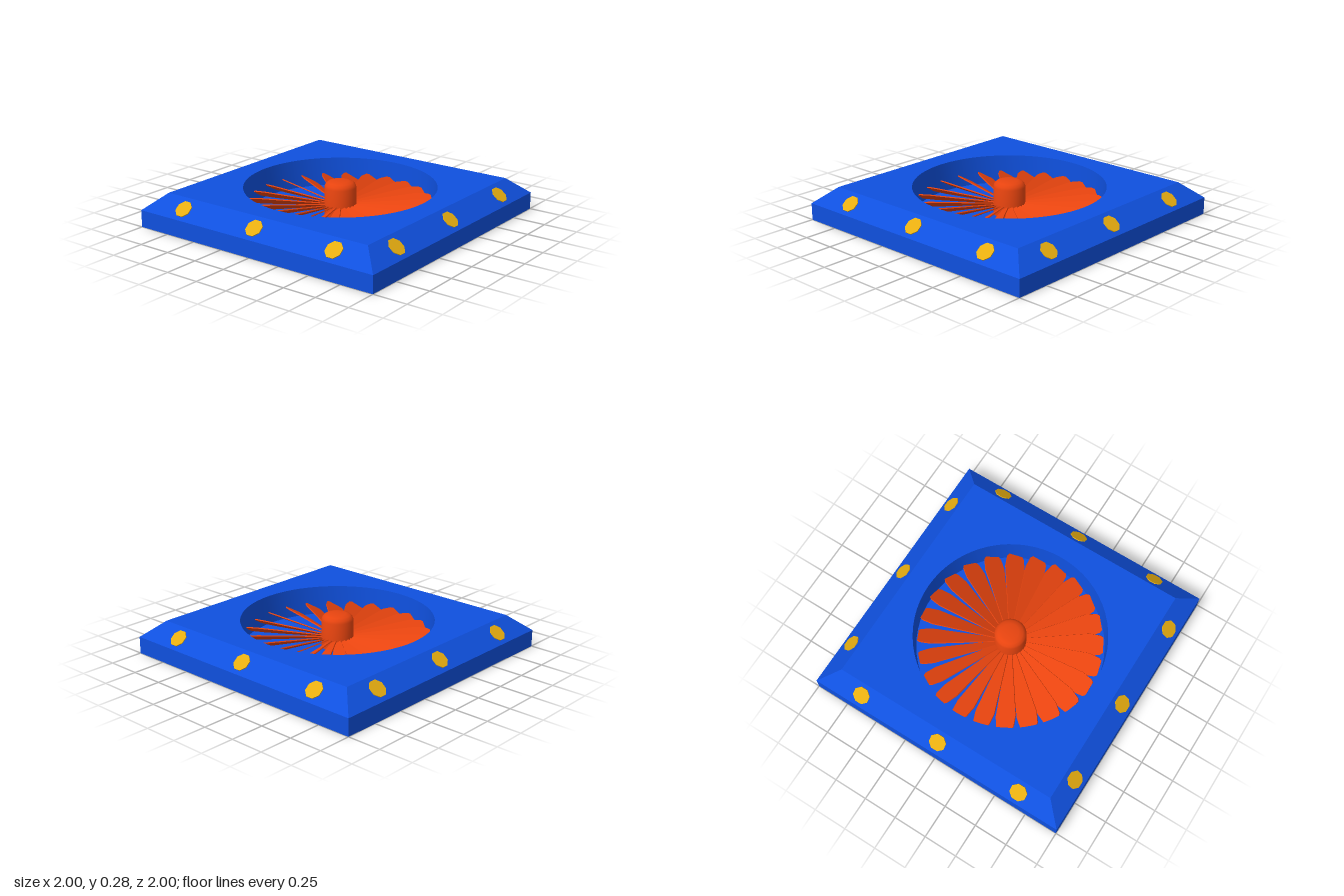
import * as THREE from 'three';
import { toCreasedNormals } from 'three/addons/utils/BufferGeometryUtils.js';

const v = (x, y) => new THREE.Vector2(x, y);

export function createModel() {
  const model = new THREE.Group();
  model.name = 'fanPanel';

  const material = (name, color) => {
    const m = new THREE.MeshStandardMaterial({ color });
    m.name = name;
    return m;
  };
  const blue = material('blue housing', 0x0f50de);
  const orange = material('orange fan', 0xe8440f);
  const yellow = material('yellow lights', 0xe8ae10);

  const add = (parent, name, geometry, mat) => {
    const mesh = new THREE.Mesh(geometry, mat);
    mesh.name = name;
    parent.add(mesh);
    return mesh;
  };

  const topY = 0.245, sideY = 0.125, topHalf = 0.86, pitRadius = 0.695, floorY = 0.03;

  // Square housing: closed bottom, upright sides and sloped shoulders
  const k = Math.SQRT2;
  const shell = new THREE.LatheGeometry(
    [v(0, 0), v(k, 0), v(k, sideY), v(topHalf * k, topY)], 4, Math.PI / 4);
  add(model, 'housing', toCreasedNormals(shell, 0.3), blue);

  // Flat top with the round opening
  const square = new THREE.Shape([
    v(-topHalf, -topHalf), v(topHalf, -topHalf), v(topHalf, topHalf), v(-topHalf, topHalf)]);
  square.holes.push(new THREE.Path().absarc(0, 0, pitRadius, 0, Math.PI * 2, true));
  const top = new THREE.ShapeGeometry(square, 32);
  top.rotateX(-Math.PI / 2).translate(0, topY, 0);
  add(model, 'topPlate', top, blue);

  // Fan well: wall and floor, facing inwards
  const well = new THREE.LatheGeometry(
    [v(pitRadius, topY), v(0.685, floorY), v(0, floorY)], 64);
  add(model, 'fanWell', toCreasedNormals(well, 0.6), blue);

  const fan = new THREE.Group();
  fan.name = 'fan';
  model.add(fan);

  // Hub with a rounded cap
  const hub = new THREE.LatheGeometry(
    [v(0.115, floorY), v(0.115, 0.235), v(0.108, 0.255), v(0.09, 0.272), v(0.06, 0.28), v(0, 0.28)], 32);
  add(fan, 'hub', toCreasedNormals(hub, 0.6), orange);

  // Tapered blades with clipped tips, each pitched about its own length
  const outline = [[0.08, 0.018], [0.57, 0.081], [0.65, 0.07], [0.67, 0.055]];
  const bladeShape = new THREE.Shape([
    ...outline.map(([x, w]) => v(x, -w)),
    ...outline.slice().reverse().map(([x, w]) => v(x, w))]);
  const blade = new THREE.ExtrudeGeometry(bladeShape, { depth: 0.008, bevelEnabled: false });
  blade.translate(0, 0, -0.004).rotateX(-Math.PI / 2).rotateX(Math.PI / 6);
  const bladeCount = 24;
  for (let i = 0; i < bladeCount; i++) {
    const mesh = add(fan, 'blade', blade, orange);
    mesh.position.y = 0.1;
    mesh.rotation.y = (i / bladeCount) * Math.PI * 2 - 0.02;
  }

  // Eight-sided lights, three on each sloped shoulder
  const slope = Math.atan2(1 - topHalf, topY - sideY);
  const light = new THREE.CylinderGeometry(0.065, 0.065, 0.009, 8);
  light.rotateY(Math.PI / 8).rotateX(Math.PI / 2 - slope);
  for (let side = 0; side < 4; side++) {
    const row = new THREE.Group();
    row.name = 'lightRow';
    row.rotation.y = side * Math.PI / 2;
    for (const x of [-0.65, -0.01, 0.65]) {
      add(row, 'light', light, yellow).position.set(x, 0.186, 0.931);
    }
    model.add(row);
  }

  return model;
}
